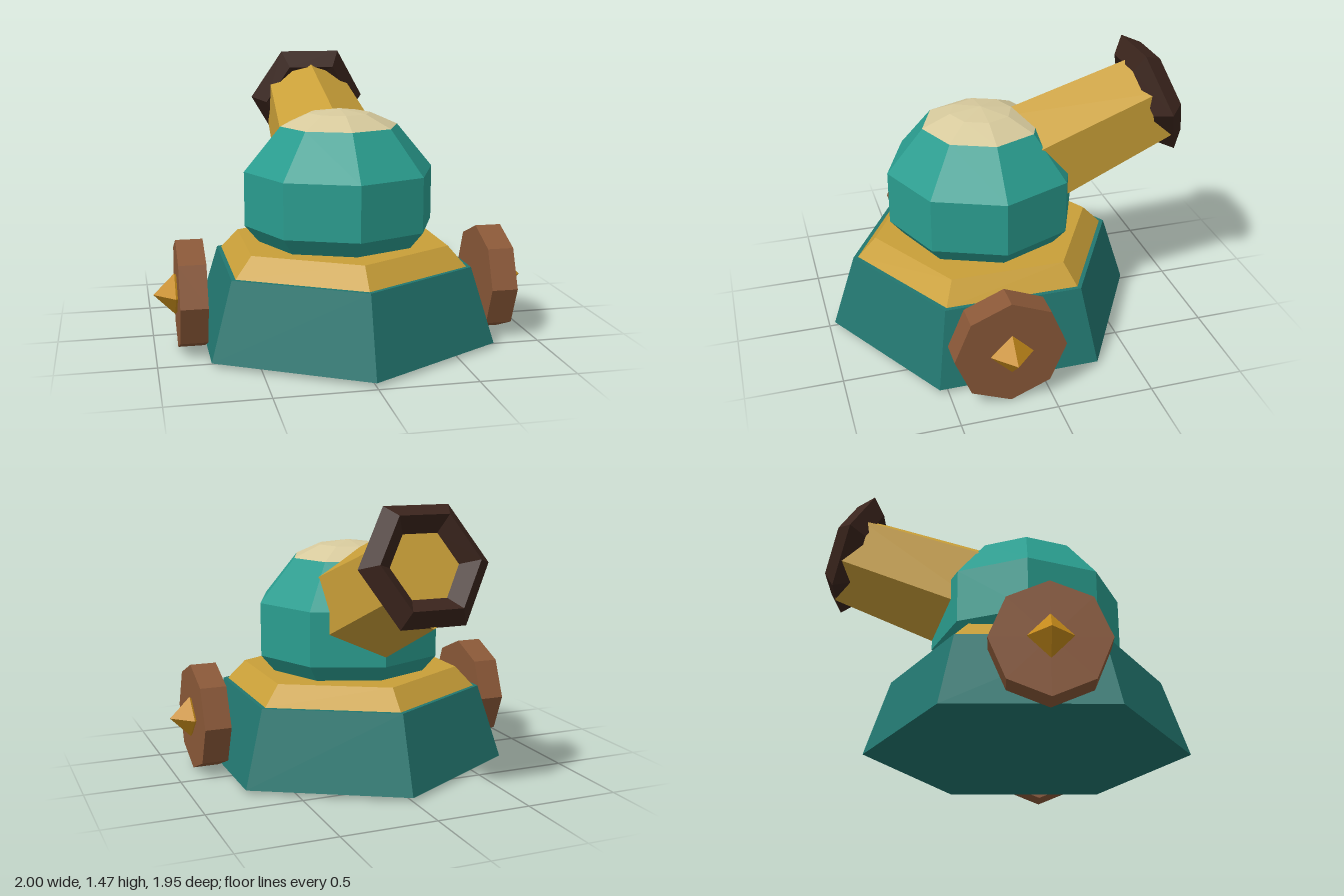
import * as THREE from 'three';

const CENTRE_Z = 0.12;
const mat = (color) => new THREE.MeshStandardMaterial({ color, flatShading: true });

export function createModel() {
  const model = new THREE.Group();
  model.name = 'cannonTurret';

  const teal = mat(0x2a9d8f);
  const darkTeal = mat(0x22766f);
  const gold = mat(0xc99f38);
  const cream = mat(0xd6c99c);
  const darkBrown = mat(0x3a241c);
  const brown = mat(0x8a5838);
  const amber = mat(0xc68b1a);

  const add = (name, geometry, material, x, y, z) => {
    const mesh = new THREE.Mesh(geometry, material);
    mesh.name = name;
    mesh.position.set(x, y, z);
    model.add(mesh);
    return mesh;
  };

  // Hexagonal base and sloped collar
  add('base', new THREE.CylinderGeometry(0.72, 0.85, 0.4, 6), darkTeal, 0, 0.22, CENTRE_Z);
  add('collar', new THREE.CylinderGeometry(0.595, 0.695, 0.105, 6), gold, 0, 0.4725, CENTRE_Z);

  // Faceted dome, with its top ring of faces as a separate cap
  const domePart = (name, material, rings, start, length) => {
    const geometry = new THREE.SphereGeometry(0.536, 8, rings, 0, Math.PI * 2, start, length);
    add(name, geometry, material, 0, 0.757, CENTRE_Z).scale.y = 0.87;
  };
  domePart('dome', teal, 4, Math.PI * 0.2, Math.PI * 0.8);
  domePart('domeCap', cream, 1, 0, Math.PI * 0.2);

  // Tapered barrel pointing up and back, with the muzzle ring around its end
  const tilt = 0.363;
  const length = 0.9;
  const barrel = add('barrel', new THREE.CylinderGeometry(0.268, 0.327, length, 6), gold,
    0, 1.162 - Math.sin(tilt) * length / 2, -0.835 + Math.cos(tilt) * length / 2);
  barrel.rotation.x = tilt - Math.PI / 2;
  const ring = add('muzzleRing', new THREE.TorusGeometry(0.26, 0.08, 4, 6), darkBrown, 0, 1.194, -0.823);
  ring.rotation.x = 0.35;

  // Octagonal wheels with pointed hubs
  for (const [side, s] of [['left', 1], ['right', -1]]) {
    const wheel = add(side + 'Wheel', new THREE.CylinderGeometry(0.288, 0.288, 0.14, 8), brown, s * 0.81, 0.288, 0.21);
    wheel.rotation.z = Math.PI / 2;
    add(side + 'Hub', new THREE.OctahedronGeometry(0.11), amber, s * 0.89, 0.29, 0.21);
  }

  return model;
}
